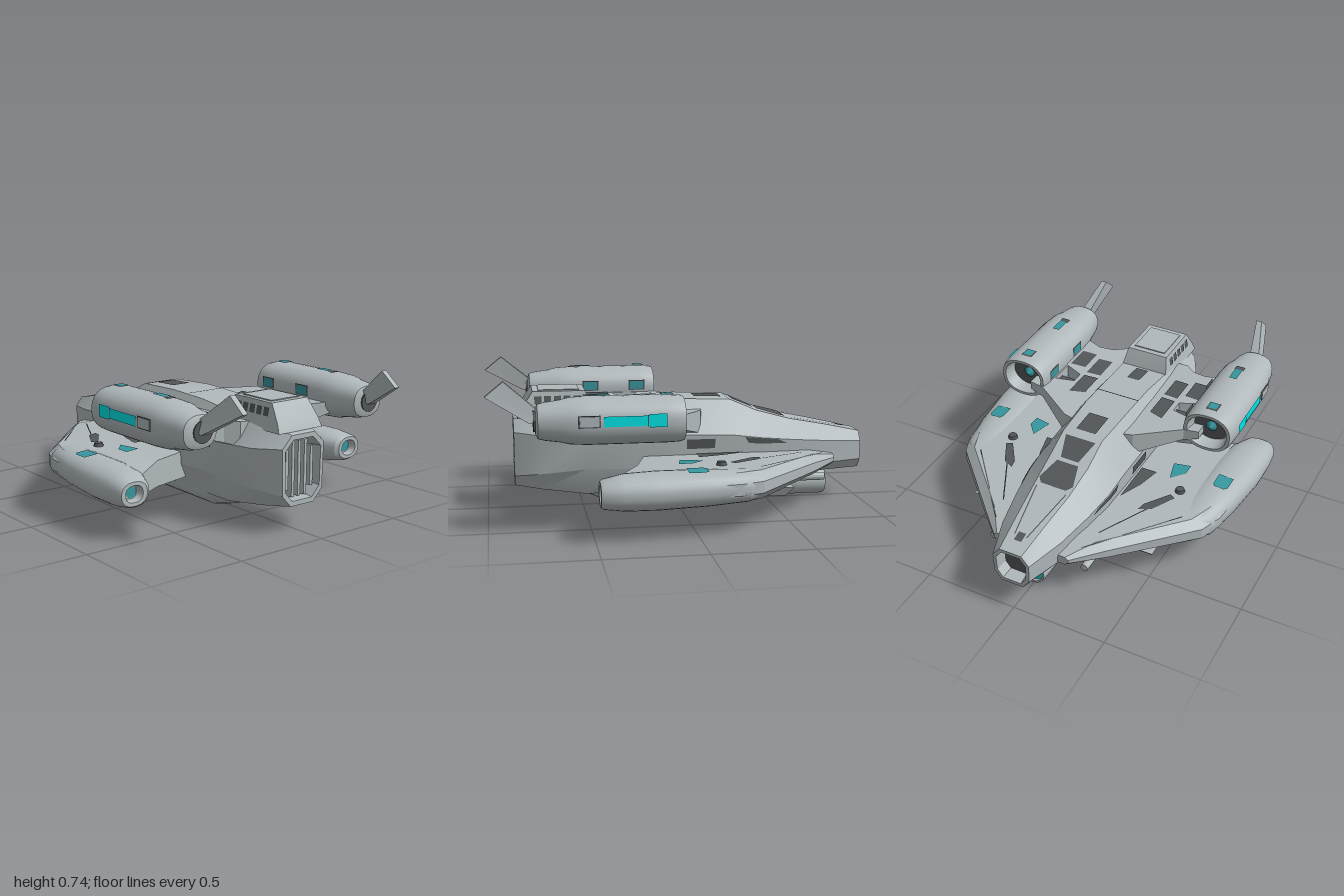
import * as THREE from 'three';
import { toCreasedNormals } from 'three/addons/utils/BufferGeometryUtils.js';

const paint = (name, color, side = THREE.FrontSide) => {
  const m = new THREE.MeshStandardMaterial({ color, side });
  m.name = name;
  return m;
};

// Cross-section tables, nose at -x.
// hull: x, bottom, top, top half width, half width, bottom half width, low shoulder, high shoulder
const HULL = [
  [-1, 0.17, 0.37, 0.06, 0.1, 0.06, 0.22, 0.32],
  [-0.8, 0.17, 0.415, 0.08, 0.165, 0.11, 0.22, 0.34],
  [-0.6, 0.15, 0.455, 0.1, 0.205, 0.14, 0.21, 0.36],
  [-0.42, 0.13, 0.505, 0.11, 0.23, 0.16, 0.22, 0.38],
  [-0.27, 0.11, 0.57, 0.11, 0.235, 0.16, 0.23, 0.4],
  [0, 0.1, 0.58, 0.12, 0.24, 0.16, 0.24, 0.41],
  [0.25, 0.1, 0.57, 0.12, 0.24, 0.16, 0.24, 0.41],
  [0.5, 0.1, 0.545, 0.13, 0.225, 0.16, 0.24, 0.41],
  [0.72, 0.125, 0.535, 0.12, 0.205, 0.13, 0.22, 0.42],
  [0.86, 0.14, 0.49, 0.075, 0.135, 0.075, 0.2, 0.43],
];
// lower wing: x, inner z, outer z, bottom, top
const WING = [
  [-0.82, 0.15, 0.21, 0.225, 0.272],
  [-0.68, 0.15, 0.35, 0.19, 0.298],
  [-0.32, 0.15, 0.7, 0.16, 0.305],
  [-0.2, 0.15, 0.745, 0.16, 0.305],
  [0.18, 0.15, 0.785, 0.16, 0.303],
  [0.26, 0.42, 0.79, 0.165, 0.3],
  [0.38, 0.6, 0.785, 0.18, 0.285],
];

function rowAt(rows, x) {
  let i = 0;
  while (i < rows.length - 2 && x > rows[i + 1][0]) i++;
  const t = (x - rows[i][0]) / (rows[i + 1][0] - rows[i][0]);
  return rows[i].map((v, k) => v + (rows[i + 1][k] - v) * t);
}

function hullRing([x, yb, yt, wt, w, wb, yl, yh]) {
  const half = [[wt, yt], [w, yh], [w * 0.96, yl], [wb, yb]];
  return [...half.map(([z, y]) => [x, y, z]), ...half.reverse().map(([z, y]) => [x, y, -z])];
}
const hullTop = (x, z) => [x, rowAt(HULL, x)[2] + 0.005, z];
function hullSide(x, y) {
  const [, , , , w, , yl, yh] = rowAt(HULL, x);
  return [x, y, w * (0.96 + 0.04 * (y - yl) / (yh - yl)) + 0.005];
}
const wingTop = (x, z) => [x, rowAt(WING, x)[4] + 0.006, z];
const wingUnder = (x, z) => [x, rowAt(WING, x)[3] - 0.006, z];

// ring around the x axis; power below 1 squares it off
function oval(x, y, z, ry, rz, n = 28, power = 1) {
  const sq = (v) => Math.sign(v) * Math.abs(v) ** power;
  return Array.from({ length: n }, (_, i) => {
    const a = ((i + 0.5) / n) * Math.PI * 2;
    return [x, y + ry * sq(Math.sin(a)), z + rz * sq(Math.cos(a))];
  });
}

function loft(rings) {
  const n = rings[0].length, index = [], last = (rings.length - 1) * n;
  for (let r = 0; r < rings.length - 1; r++) for (let i = 0; i < n; i++) {
    const a = r * n + i, b = r * n + (i + 1) % n;
    index.push(a, b, a + n, b, b + n, a + n);
  }
  for (let i = 1; i < n - 1; i++) index.push(0, i + 1, i, last, last + i, last + i + 1);
  const g = new THREE.BufferGeometry();
  g.setAttribute('position', new THREE.Float32BufferAttribute(rings.flat(2), 3));
  g.setIndex(index);
  return g;
}

function face(points) {
  const g = new THREE.BufferGeometry(), tri = [];
  for (let i = 1; i < points.length - 1; i++) tri.push(points[0], points[i], points[i + 1]);
  g.setAttribute('position', new THREE.Float32BufferAttribute(tri.flat(), 3));
  return g;
}

// Mirrors on z when side is -1, turns every solid outward and sets its normals
function finish(geometry, side, crease) {
  const g = geometry.index ? geometry.toNonIndexed() : geometry;
  g.scale(1, 1, side);
  const p = g.attributes.position, v = [0, 1, 2].map(() => new THREE.Vector3());
  let volume = 0;
  for (let i = 0; i < p.count; i += 3) {
    v.forEach((q, k) => q.fromBufferAttribute(p, i + k));
    volume += v[0].dot(v[1].clone().cross(v[2]));
  }
  if (volume < 0) for (let i = 0; i < p.count; i += 3) {
    v.forEach((q, k) => q.fromBufferAttribute(p, i + k));
    p.setXYZ(i + 1, ...v[2].toArray());
    p.setXYZ(i + 2, ...v[1].toArray());
  }
  g.deleteAttribute('normal');
  return toCreasedNormals(g, crease);
}

export function createModel() {
  const ship = new THREE.Group();
  ship.name = 'spaceship';
  const grey = paint('hull grey', 0xb0b8bb);
  const dark = paint('dark panel', 0x525658, THREE.DoubleSide);
  const glow = paint('bright teal', 0x00fcff, THREE.DoubleSide);
  const teal = paint('deep teal', 0x36979f, THREE.DoubleSide);

  const add = (name, geometry, material, side = 1, crease = 0.5) => {
    const mesh = new THREE.Mesh(finish(geometry, side, crease), material);
    mesh.name = name;
    ship.add(mesh);
  };
  const box = (x0, x1, y0, y1, z0, z1) =>
    new THREE.BoxGeometry(x1 - x0, y1 - y0, z1 - z0).translate((x0 + x1) / 2, (y0 + y1) / 2, (z0 + z1) / 2);
  // panel outlined by pairs that are mapped onto a surface
  const panel = (name, map, pairs, material, side) => add(name, face(pairs.map((q) => map(...q))), material, side);
  const rect = (a, b, c, d) => [[a, c], [b, c], [b, d], [a, d]];

  // Hull with a hollow nose and a hollow engine outlet
  const inset = (x, from, s) => hullRing(from).map(([, y, z]) => [x, 0.5 * (from[1] + from[2]) * (1 - s) + y * s, z * s]);
  const nose = HULL[0], tail = HULL[HULL.length - 1];
  add('hull', loft([inset(-0.93, nose, 0.75), inset(-1, nose, 0.82), ...HULL.map(hullRing),
    inset(0.86, tail, 0.86), inset(0.76, tail, 0.8)]), grey, 1, 0.4);
  add('noseRecess', face(inset(-0.934, nose, 0.74)), dark);
  add('engineRecess', face(inset(0.766, tail, 0.8)), dark);
  for (let i = -2; i <= 2; i++) {
    const h = Math.abs(i) === 2 ? 0.1 : 0.138;
    add('engineSlat', box(0.77, 0.835, 0.315 - h, 0.315 + h, i * 0.04 - 0.009, i * 0.04 + 0.009), grey);
  }

  // Belly tube
  add('belly', loft([[-0.6, 0.095, 0.08, 0.085], [-0.45, 0.11, 0.1, 0.12], [-0.36, 0.13, 0.122, 0.155],
    [0.28, 0.13, 0.128, 0.165], [0.4, 0.15, 0.115, 0.165], [0.5, 0.18, 0.1, 0.155], [0.7, 0.2, 0.08, 0.12]]
    .map(([x, y, ry, rz]) => oval(x, y, 0, ry, rz))), grey);
  add('bellyBarrel', loft([[-0.78, 0.055], [-0.82, 0.06], [-0.82, 0.07], [-0.8, 0.075], [-0.55, 0.075]]
    .map(([x, r]) => oval(x, 0.092, 0, r, r))), grey);
  add('barrelLens', face(oval(-0.805, 0.092, 0, 0.058, 0.058)), glow);
  add('barrelBand', loft([oval(-0.6, 0.092, 0, 0.079, 0.079), oval(-0.59, 0.092, 0, 0.079, 0.079)]), dark);

  // Cockpit and spine panels
  panel('canopyWindow', hullTop, [[-0.58, 0.07], [-0.55, 0.095], [-0.43, 0.06], [-0.43, -0.06], [-0.55, -0.095], [-0.58, -0.07]], dark);
  panel('windscreen', hullTop, [[-0.41, 0.05], [-0.29, 0.085], [-0.29, -0.085], [-0.41, -0.05]], dark);
  panel('roofHatch', hullTop, rect(-0.235, -0.09, -0.055, 0.055), dark);
  panel('spineSlot', hullTop, rect(0.31, 0.43, -0.035, 0.035), dark);
  panel('noseVent', hullTop, rect(-0.93, -0.88, -0.02, 0.02), dark);

  // Raised housing on the rear deck, with slots along both sides
  const rim = (x0, x1, y, z) => rect(x0, x1, -z, z).map(([x, w]) => [x, y, w]);
  add('deckHousing', loft([rim(0.44, 0.84, 0.5, 0.14), rim(0.45, 0.82, 0.545, 0.132), rim(0.49, 0.76, 0.635, 0.115)]), grey, 1, 0.2);
  add('deckHousingLid', box(0.52, 0.73, 0.634, 0.64, -0.09, 0.09), grey);

  for (const side of [1, -1]) {
    for (let i = 0; i < 5; i++) {
      const x = 0.515 + i * 0.05;
      add('housingSlot', face(rect(x, x + 0.036, 0.57, 0.612).map(([a, y]) => [a, y, 0.132 - (y - 0.545) * 0.19 + 0.004])), dark, side);
    }
    // Hull side panels
    panel('noseSideVent', hullSide, [[-0.56, 0.345], [-0.42, 0.35], [-0.42, 0.378], [-0.51, 0.368]], dark, side);
    panel('noseSideVent', hullSide, [[-0.42, 0.35], [-0.35, 0.355], [-0.33, 0.388], [-0.42, 0.378]], dark, side);
    panel('midSideVent', hullSide, rect(-0.17, -0.02, 0.335, 0.385), dark, side);
    panel('aftSideVent', hullSide, rect(0.2, 0.44, 0.375, 0.407), dark, side);
    panel('noseSeam', hullTop, [[-0.9, 0.03], [-0.6, 0.08], [-0.6, 0.086], [-0.9, 0.036]], dark, side);
    panel('spineSeam', hullTop, rect(0.12, 0.126, 0, 0.12), dark, side);
    add('bellyVent', face([[-0.34, 0.08], [-0.12, 0.07], [-0.12, 0.125], [-0.34, 0.13]].map(([x, y]) => [x, y, 0.165])), dark, side);

    // Lower wing with bevelled leading edge
    add('lowerWing', loft(WING.map(([x, zi, zo, yb, yt]) => {
      const b = Math.min(0.06, (zo - zi) * 0.3), h = (yt - yb) * 0.3;
      return [[x, yt, zi], [x, yt, zo - b], [x, yt - h, zo], [x, yb + h, zo], [x, yb, zo - b], [x, yb, zi]];
    })), grey, side, 0.3);
    // Wing-tip pod with octagonal nozzle
    add('wingPod', loft([[-0.36, 0.6, 0.055, 0.05], [-0.25, 0.63, 0.077, 0.105], [-0.05, 0.65, 0.086, 0.122], [0.2, 0.67, 0.09, 0.13],
      [0.36, 0.685, 0.086, 0.116], [0.46, 0.705, 0.07, 0.088], [0.475, 0.712, 0.06, 0.074], [0.475, 0.712, 0.042, 0.05], [0.44, 0.712, 0.032, 0.034]]
      .map(([x, z, ry, rz]) => oval(x, 0.23, z, ry, rz, 24, 0.85))), grey, side);
    add('podNozzle', face(oval(0.444, 0.232, 0.712, 0.03, 0.032, 8)), teal, side);
    // Wing details
    panel('wingVent', wingTop, [[-0.38, 0.37], [-0.33, 0.38], [-0.2, 0.47], [-0.22, 0.5], [-0.35, 0.43]], dark, side);
    panel('wingRootVent', wingTop, [[-0.33, 0.245], [-0.07, 0.245], [-0.07, 0.33], [-0.2, 0.3]], dark, side);
    panel('wingInnerWindow', wingTop, [[-0.08, 0.41], [0.04, 0.38], [0.06, 0.47], [-0.01, 0.47]], teal, side);
    panel('wingSeam', wingTop, [[-0.74, 0.24], [-0.33, 0.59], [-0.33, 0.598], [-0.74, 0.248]], dark, side);
    panel('wingSeam', wingTop, [[-0.62, 0.27], [-0.3, 0.437], [-0.3, 0.444], [-0.62, 0.277]], dark, side);
    add('podWindow', face([[-0.05, 0.645], [-0.03, 0.635], [0.05, 0.635], [0.05, 0.715], [-0.03, 0.715], [-0.05, 0.7]]
      .map(([x, z]) => [x, 0.325 - (z - 0.635) * 0.08, z])), teal, side);
    panel('wingUnderWindow', wingUnder, rect(-0.08, 0.13, 0.38, 0.48), glow, side);
    add('wingUnderBlister', loft([rim(-0.1, 0.1, 0.18, 0.06), rim(-0.06, 0.06, 0.135, 0.04)]).translate(-0.42, 0, 0.46), grey, side, 0.2);
    panel('blisterWindow', (x, z) => [x, 0.131, z], rect(-0.46, -0.38, 0.435, 0.485), teal, side);
    add('wingHub', new THREE.CylinderGeometry(0.022, 0.028, 0.025, 14).translate(-0.15, 0.31, 0.5), dark, side);
    add('gunBarrel', new THREE.CylinderGeometry(0.02, 0.02, 0.5, 12).rotateZ(Math.PI / 2).translate(-0.5, 0.17, 0.26), grey, side);

    // Upper wing: outline in x and z with a see-through opening, thinner outboard
    const outline = new THREE.Shape([[-0.12, 0.1], [-0.1, 0.2], [0.05, 0.42], [0.06, 0.5], [0.62, 0.5], [0.58, 0.4],
      [0.555, 0.33], [0.57, 0.25], [0.62, 0.19], [0.62, 0.1]].map((q) => new THREE.Vector2(...q)));
    outline.holes.push(new THREE.Path([[0.19, 0.3], [0.26, 0.3], [0.3, 0.4], [0.16, 0.4]].map((q) => new THREE.Vector2(...q))));
    const upper = new THREE.ExtrudeGeometry(outline, { depth: 1, bevelEnabled: false });
    const p = upper.attributes.position;
    for (let i = 0; i < p.count; i++) {
      const z = p.getY(i), t = (z - 0.1) / 0.4;
      p.setXYZ(i, p.getX(i), p.getZ(i) > 0.5 ? 0.525 + 0.02 * t : 0.38 + 0.12 * t, z);
    }
    add('upperWing', upper, grey, side, 0.3);
    const deck = (x, z) => [x, 0.53 + 0.05 * (z - 0.1), z];
    panel('upperWingWindow', deck, [[0.33, 0.305], [0.47, 0.305], [0.465, 0.39], [0.32, 0.39]], dark, side);
    panel('upperWingWindow', deck, [[0.12, 0.195], [0.27, 0.195], [0.26, 0.275], [0.09, 0.275]], dark, side);
    panel('upperWingWindow', deck, [[0.3, 0.195], [0.45, 0.195], [0.44, 0.275], [0.29, 0.275]], dark, side);
    panel('upperWingUnderWindow', (x, z) => [x, 0.375 + 0.3 * (z - 0.1), z], rect(0.33, 0.48, 0.28, 0.39), teal, side);
    add('openingStrut', box(0.15, 0.235, 0.48, 0.51, 0.29, 0.41), dark, side);

    // Nacelle with hollow intake and tapered tail
    const ny = 0.557, nz = 0.544;
    add('nacelle', loft([[0.13, 0.7], [0.055, 0.8], [0.055, 0.93], [0.08, 0.98], [0.14, 1], [0.52, 1], [0.6, 0.96], [0.65, 0.86],
      [0.72, 0.78], [0.755, 0.7], [0.765, 0.5]].map(([x, s]) => oval(x, ny, nz, 0.115 * s, 0.137 * s, 32, 0.85))), grey, side, 0.45);
    add('intakeRecess', face(oval(0.126, ny, nz, 0.08, 0.096)), dark, side);
    add('intakeHub', new THREE.ConeGeometry(0.035, 0.03, 16).rotateZ(Math.PI / 2).translate(0.115, ny, nz), teal, side);
    add('finSocket', new THREE.CylinderGeometry(0.05, 0.055, 0.02, 16).rotateZ(Math.PI / 2).translate(0.764, 0.56, 0.54), dark, side);
    // Nacelle windows
    const flank = (x, y) => [x, y, nz + 0.141];
    const pane = (x, y) => [x, y, nz + 0.144];
    panel('nacelleWindow', flank, rect(0.15, 0.45, 0.546, 0.596), glow, side);
    panel('nacelleWindowEnd', pane, rect(0.15, 0.235, 0.54, 0.604), glow, side);
    panel('nacelleWindowDivider', pane, rect(0.238, 0.244, 0.545, 0.6), dark, side);
    panel('nacelleHatchFrame', flank, rect(0.465, 0.57, 0.543, 0.602), dark, side);
    add('nacelleHatch', box(0.472, 0.563, 0.549, 0.596, nz + 0.136, nz + 0.144), grey, side);
    const roof = (x, z) => [x, ny + 0.119, z];
    const roofPane = (x, z) => [x, ny + 0.122, z];
    panel('nacelleRoofFrame', roof, rect(0.1, 0.165, 0.515, 0.575), dark, side);
    panel('nacelleRoofWindow', roofPane, rect(0.11, 0.16, 0.522, 0.568), teal, side);
    panel('nacelleRoofWindow', roofPane, rect(0.41, 0.5, 0.515, 0.555), teal, side);
    panel('nacelleRoofFrame', roof, rect(0.5, 0.535, 0.51, 0.56), dark, side);
    for (const x of [0.12, 0.38]) {
      panel('nacelleInnerFrame', (a, y) => [a, y, nz - 0.14], rect(x - 0.008, x + 0.083, 0.552, 0.608), dark, side);
      panel('nacelleInnerWindow', (a, y) => [a, y, nz - 0.143], rect(x, x + 0.075, 0.558, 0.602), teal, side);
    }

    // Swept fin rooted inside the nacelle tail
    const blade = (pts, z, t) => [...pts.map(([x, y]) => [x, y, z + t]), ...pts.reverse().map(([x, y]) => [x, y, z - t])];
    add('tailFin', loft([blade([[0.79, 0.55], [0.715, 0.58]], 0.54, 0.028),
      blade([[1, 0.672], [0.91, 0.745]], 0.487, 0.015)]), grey, side, 0.2);
  }
  return ship;
}
